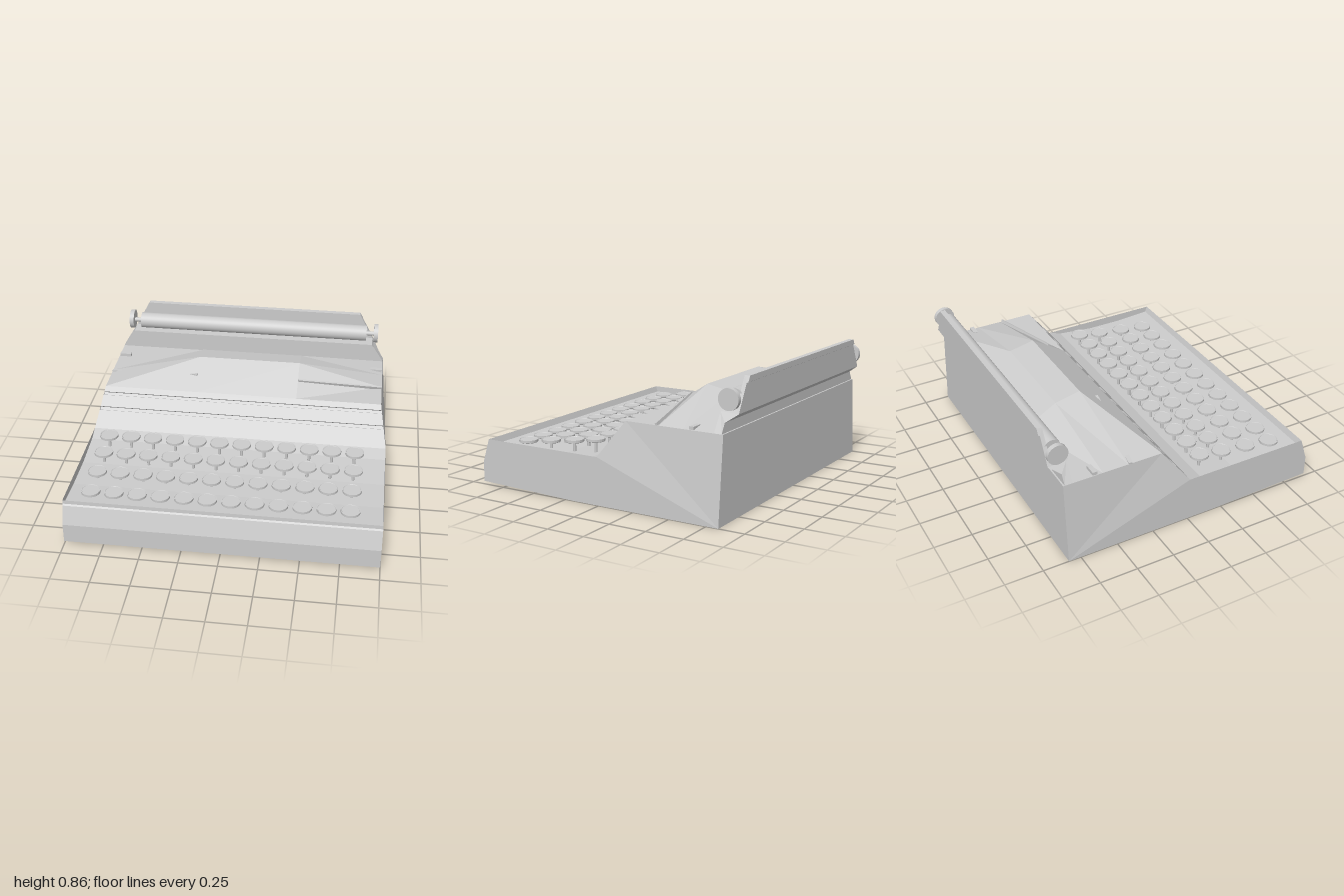
import * as THREE from 'three';

const grey = new THREE.MeshStandardMaterial({ color: 0xcccccc });
const sheet = new THREE.MeshStandardMaterial({ color: 0xcccccc, side: THREE.DoubleSide, flatShading: true });

function add(parent, name, geometry, x = 0, y = 0, z = 0, material = grey) {
  const mesh = new THREE.Mesh(geometry, material);
  mesh.name = name;
  mesh.position.set(x, y, z);
  parent.add(mesh);
  return mesh;
}

// Surface from a list of flat convex polygons, each a list of [x, y, z]
function polygons(list) {
  const pos = [];
  for (const p of list) {
    for (let i = 1; i < p.length - 1; i++) pos.push(...p[0], ...p[i], ...p[i + 1]);
  }
  const g = new THREE.BufferGeometry();
  g.setAttribute('position', new THREE.Float32BufferAttribute(pos, 3));
  g.computeVertexNormals();
  return g;
}

// Panel that follows a profile of [z, y, halfWidth] points
function band(profile) {
  const quads = [];
  for (let i = 0; i < profile.length - 1; i++) {
    const [z0, y0, w0] = profile[i], [z1, y1, w1] = profile[i + 1];
    quads.push([[-w0, y0, z0], [w0, y0, z0], [w1, y1, z1], [-w1, y1, z1]]);
  }
  return polygons(quads);
}

// Slim bar between two points
function bar(parent, name, a, b, height, depth) {
  const from = new THREE.Vector3(...a), to = new THREE.Vector3(...b);
  const dir = to.clone().sub(from);
  const mesh = add(parent, name, new THREE.BoxGeometry(dir.length(), height, depth));
  mesh.position.copy(from).add(to).multiplyScalar(0.5);
  mesh.quaternion.setFromUnitVectors(new THREE.Vector3(1, 0, 0), dir.normalize());
}

function buildCase(parent) {
  // Back, base and front lip
  add(parent, 'caseShell', band([
    [-0.83, 0.54, 0.95], [-0.83, 0, 1], [0.2, 0, 1], [0.905, 0.02, 1],
    [0.905, 0.15, 1], [0.866, 0.272, 1], [0.856, 0.28, 1], [0.855, 0.305, 1],
  ]), 0, 0, 0, sheet);

  // Sunken deck below the keys
  add(parent, 'keyDeck', band([
    [0.855, 0.305, 1], [0.84, 0.265, 1], [0.6, 0.25, 1], [0.35, 0.25, 1], [0.1, 0.275, 1], [0.01, 0.305, 1],
  ]), 0, 0, 0, sheet);

  // Sloping front with two grooves
  const slope = [[0, 0], [0.43, 0], [0.44, 0.012], [0.51, 0.012], [0.52, 0],
    [0.79, 0], [0.8, 0.012], [0.86, 0.012], [0.87, 0], [1, 0]];
  add(parent, 'slopedFront', band(slope.map(([t, inset]) =>
    [0.01 - 0.18 * t - inset * 0.79, 0.305 + 0.235 * t - inset * 0.61, 1 - 0.05 * t])), 0, 0, 0, sheet);
  add(parent, 'rearLedge', band([[-0.77, 0.54, 0.95], [-0.83, 0.54, 0.95]]), 0, 0, 0, sheet);

  // Side walls
  for (const s of [-1, 1]) {
    add(parent, s > 0 ? 'leftWall' : 'rightWall', polygons([
      [[s, 0, -0.83], [s, 0, 0.2], [s, 0.02, 0.905], [s, 0.15, 0.905], [s, 0.305, 0.855], [s, 0.305, 0.01]],
      [[s, 0, -0.83], [s, 0.305, 0.01], [s * 0.95, 0.54, -0.17], [s * 0.95, 0.54, -0.83]],
    ]), 0, 0, 0, sheet);
  }
}

function buildHood(parent) {
  // Raised centre that falls away to flat ends
  const zs = [-0.17, -0.4, -0.57, -0.77];
  const raised = [0.54, 0.69, 0.655, 0.54];
  const sections = [[-0.95, 0], [-0.32, 1], [0.375, 1], [0.95, 0]];
  const point = ([x, k], j) => [x, 0.54 + (raised[j] - 0.54) * k, zs[j]];
  const quads = [];
  for (let i = 0; i < 3; i++) {
    for (let j = 0; j < 3; j++) {
      quads.push([point(sections[i], j), point(sections[i + 1], j),
        point(sections[i + 1], j + 1), point(sections[i], j + 1)]);
    }
  }
  add(parent, 'hood', polygons(quads), 0, 0, 0, sheet);

  // Slanted rails beside the front plate, and end tabs
  bar(parent, 'rightRail', [-0.95, 0.542, -0.385], [-0.32, 0.615, -0.285], 0.012, 0.024);
  bar(parent, 'leftRail', [0.95, 0.542, -0.385], [0.375, 0.615, -0.285], 0.012, 0.024);
  for (const s of [-1, 1]) {
    add(parent, 'hoodTab', new THREE.BoxGeometry(0.08, 0.025, 0.03), s * 0.905, 0.548, -0.62);
  }
}

function buildCarriage(parent) {
  // Cradle cross-section, narrowed towards the top
  const outline = [[-0.77, 0.54], [-0.77, 0.655], [-0.757, 0.66], [-0.757, 0.675], [-0.79, 0.675],
    [-0.865, 0.675], [-0.865, 0.855], [-0.9, 0.855], [-0.9, 0.82], [-0.89, 0.815],
    [-0.89, 0.65], [-0.82, 0.6], [-0.82, 0.54]];
  const shape = new THREE.Shape(outline.map(([z, y]) => new THREE.Vector2(-z, y)));
  const g = new THREE.ExtrudeGeometry(shape, { depth: 2, bevelEnabled: false });
  g.rotateY(Math.PI / 2).translate(-1, 0, 0);
  const widths = [[0.54, 0.95], [0.6, 0.915], [0.656, 0.874], [0.75, 0.826], [0.855, 0.767]];
  const halfWidth = (y) => {
    let i = 0;
    while (i < widths.length - 2 && y > widths[i + 1][0]) i++;
    const [y0, w0] = widths[i], [y1, w1] = widths[i + 1];
    return w0 + (w1 - w0) * (y - y0) / (y1 - y0);
  };
  const p = g.attributes.position;
  for (let i = 0; i < p.count; i++) p.setX(i, p.getX(i) * halfWidth(p.getY(i)));
  g.computeVertexNormals();
  add(parent, 'carriageCradle', g);

  // Roller with axle and end knobs
  const rod = (r, length) => new THREE.CylinderGeometry(r, r, length, 32).rotateZ(Math.PI / 2);
  add(parent, 'roller', rod(0.055, 1.64), 0, 0.73, -0.83);
  add(parent, 'axle', rod(0.015, 1.78), 0, 0.73, -0.83);
  for (const s of [-1, 1]) add(parent, 'rollerKnob', rod(0.066, 0.03), s * 0.887, 0.733, -0.833);
}

function buildKeys(parent) {
  // Dished round cap with a raised rim, on a thin stem
  const cap = new THREE.LatheGeometry([[0, -0.02], [0.056, -0.02], [0.062, -0.016], [0.062, 0],
    [0.057, 0], [0.055, -0.003], [0, -0.003]].map(([x, y]) => new THREE.Vector2(x, y)), 24).toNonIndexed();
  cap.computeVertexNormals();
  const stem = new THREE.CylinderGeometry(0.01, 0.01, 0.09, 8);
  const rows = [[0.16, 0.362], [0.325, 0.335], [0.51, 0.31], [0.695, 0.285]];
  for (const [z, top] of rows) {
    for (let i = 0; i < 12; i++) {
      const key = new THREE.Group();
      key.name = 'key';
      key.position.set(-0.86 + i * 0.1505, top, z);
      add(key, 'keyCap', cap);
      add(key, 'keyStem', stem, 0, -0.06, 0);
      parent.add(key);
    }
  }
}

export function createModel() {
  const model = new THREE.Group();
  model.name = 'typewriter';
  for (const [name, build] of [['case', buildCase], ['hoodAssembly', buildHood],
    ['carriage', buildCarriage], ['keyboard', buildKeys]]) {
    const part = new THREE.Group();
    part.name = name;
    build(part);
    model.add(part);
  }
  return model;
}
